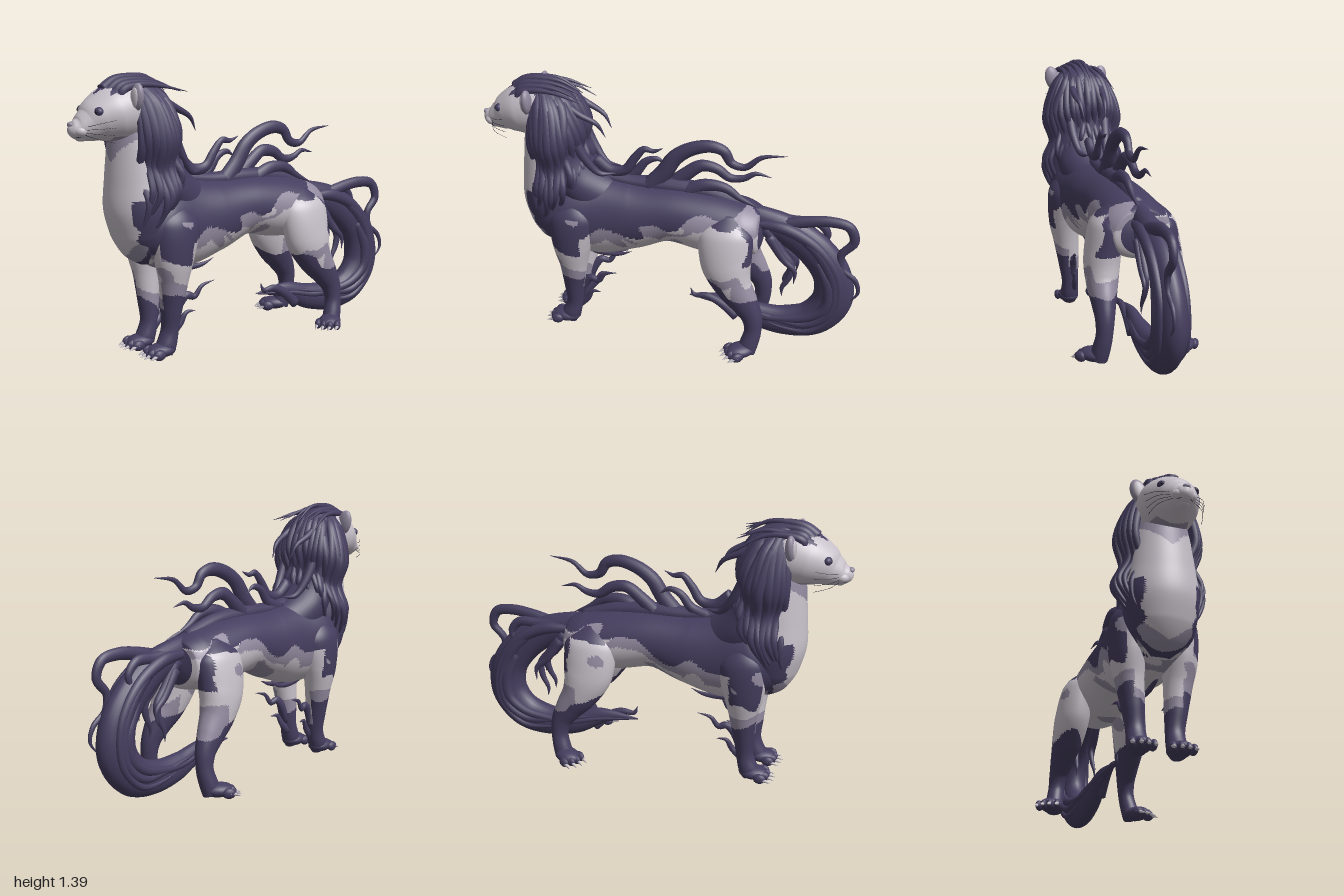
import * as THREE from 'three';

const mat = (name, color) => Object.assign(new THREE.MeshStandardMaterial({ color }), { name });
const darkFur = mat('darkFur', 0x453e5f), lightFur = mat('lightFur', 0xc6bfc8);
const midFur = mat('midFur', 0x938ba0), black = mat('black', 0x231e33);
const furs = [darkFur, lightFur, midFur];
const DARK = 0, LIGHT = 1, MID = 2;

// Blotchy coat pattern, about -1 to 1
const blotch = (x, y, z) =>
  0.5 * Math.sin(21 * z + 2.5 * Math.sin(13 * y + 6 * x)) + 0.5 * Math.sin(25 * y + 9 * x + 2 * Math.sin(15 * z));

let seed = 7;
const rand = () => (seed = (seed * 16807) % 2147483647) / 2147483647;
const jit = (a) => (rand() - 0.5) * 2 * a;

// Smooth skin over sections [x, y, z, sideRadius, otherRadius]; paint(x, y, z) picks the fur of each face
function loft(name, sections, rings, sides, paint = () => DARK) {
  const path = new THREE.CatmullRomCurve3(sections.map((s) => new THREE.Vector3(s[0], s[1], s[2])));
  const size = new THREE.CatmullRomCurve3(sections.map((s) => new THREE.Vector3(s[3], s[4], 0)));
  const pos = [], faces = [[], [], []];
  for (let i = 0; i <= rings; i++) {
    const t = i / rings, p = path.getPoint(t), r = size.getPoint(t), T = path.getTangent(t);
    const S = new THREE.Vector3(1, 0, 0).addScaledVector(T, -T.x).normalize();
    const N = new THREE.Vector3().crossVectors(T, S);
    for (let j = 0; j < sides; j++) {
      const a = (j / sides) * Math.PI * 2;
      const v = p.clone().addScaledVector(S, Math.cos(a) * Math.max(r.x, 0.001));
      pos.push(...v.addScaledVector(N, Math.sin(a) * Math.max(r.y, 0.001)).toArray());
    }
  }
  const tip = (rings + 1) * sides, end = rings * sides;
  for (const t of [0, 1]) pos.push(...path.getPoint(t).toArray());
  const face = (...ids) => {
    const mid = (k) => (pos[ids[0] * 3 + k] + pos[ids[1] * 3 + k] + pos[ids[2] * 3 + k]) / 3;
    faces[paint(mid(0), mid(1), mid(2))].push(...ids);
  };
  for (let j = 0; j < sides; j++) {
    const k = (j + 1) % sides;
    for (let a = j, b = k; a < end; a += sides, b += sides) {
      face(a, b, a + sides);
      face(b, b + sides, a + sides);
    }
    face(tip, k, j);
    face(tip + 1, end + j, end + k);
  }
  const g = new THREE.BufferGeometry();
  g.setAttribute('position', new THREE.Float32BufferAttribute(pos, 3));
  g.setIndex(faces.flat());
  let start = 0;
  faces.forEach((f, i) => { if (f.length) g.addGroup(start, f.length, i); start += f.length; });
  g.computeVertexNormals();
  return Object.assign(new THREE.Mesh(g, furs), { name });
}

// Tapering lock of hair through the points
const lock = (name, pts, r, thin = 1, root = 1) => loft(name, pts.map((p, i) => {
  const w = r * (i ? Math.pow(1 - i / (pts.length - 1), 0.65) : root) + 0.001;
  return [...p, w * thin, w];
}), (pts.length - 1) * 6, 8);

function ball(name, material, at, radii, seg = 20) {
  const m = new THREE.Mesh(new THREE.SphereGeometry(1, seg, Math.ceil(seg * 0.7)), material);
  m.name = name;
  m.position.set(...at);
  m.scale.set(...radii);
  return m;
}

function wire(name, pts, r) {
  const c = new THREE.CatmullRomCurve3(pts.map((p) => new THREE.Vector3(...p)));
  return Object.assign(new THREE.Mesh(new THREE.TubeGeometry(c, 10, r, 5), black), { name });
}

function paw(name, x, z, turn) {
  const g = new THREE.Group();
  g.name = name;
  g.position.set(x, 0, z);
  g.rotation.y = turn;
  g.add(ball('pawPad', darkFur, [0, 0.037, 0], [0.058, 0.036, 0.078]));
  for (let i = 0; i < 4; i++) {
    const u = (i - 1.5) * 0.034, f = 0.06 - Math.abs(i - 1.5) * 0.012;
    g.add(ball('toe', darkFur, [u, 0.029, f], [0.019, 0.027, 0.034], 12));
    const claw = new THREE.Mesh(new THREE.ConeGeometry(0.016, 0.06, 8), lightFur);
    claw.name = 'claw';
    claw.position.set(u * 1.05, 0.022, f + 0.034);
    claw.rotation.x = 1.9;
    g.add(claw);
  }
  return g;
}

// Coat rules
const flankLine = (z) => z > 0.42 ? 0.5 : z > 0.1 ? 0.63 - (z - 0.1) * 0.1 : z > -0.15 ? 0.74 - (z + 0.15) * 0.44 : 0.74;
const torsoCoat = (x, y, z) => {
  const n = blotch(x, y, z), h = flankLine(z) + 0.045 * n;
  if (z > 0.6 && Math.abs(x) < 0.12) return y > 0.5 ? MID : LIGHT;
  if (y > h || z < -0.47) return DARK;
  return (y < h && y > h - 0.07 && n > -0.45) || (n > 0.72 && y < 0.6) ? MID : LIGHT;
};
const neckCoat = (x, y, z) => {
  const n = 0.015 * blotch(x, y, z), w = Math.abs(x);
  if (z < 0.655 + n || (y < 0.8 && w > 0.13 + (0.8 - y) * 0.05 * Math.sin(y * 60) + n)) return DARK;
  if (y < 0.52 + 0.6 * w + n) return MID;
  return y > 0.99 + w * 0.8 + n ? MID : LIGHT;
};
const foreCoat = (x, y, z) => {
  const n = blotch(x, y, z), out = Math.abs(x) > 0.163, low = 0.22 + 0.04 * n + (z - 0.51) * 0.5 + (Math.abs(x) > 0.12 ? 0.1 : 0);
  if (y < low) return DARK;
  if (out && y > 0.46 + 0.06 * n && z > 0.45) return n > 0.55 && y < 0.68 ? MID : DARK;
  if (y > 0.61 + 0.04 * n) return DARK;
  return y < low + 0.06 ? MID : LIGHT;
};
const hindCoat = (x, y, z) => {
  const n = blotch(x, y, z), h = 0.5 + z * 0.4 + 0.03 * n;
  if (y < h || y > 0.7 + 0.03 * n || (z < -0.41 + 0.03 * n && y > 0.52)) return DARK;
  return (y < h + 0.1 && z < -0.36) || n > 0.62 ? MID : LIGHT;
};
const headCoat = (x, y, z) => {
  const peak = 1.29 + 0.04 * Math.abs(Math.sin(Math.abs(x) * 36));
  if (z < 0.66 || (y > peak && z < 0.87)) return DARK;
  return y < 1.1 && z < 0.8 ? MID : LIGHT;
};

export function createModel() {
  const model = new THREE.Group();
  model.name = 'manedBeast';
  const add = (...m) => model.add(...m);
  const wisp = (x, r, pts) => add(lock('wisp', pts.map(([z, y], i) => [x * (1 + i * 0.1), y, z]), r, 0.75));

  // Body and neck
  add(loft('torso', [
    [0, 0.63, -0.485, 0.05, 0.05], [0, 0.63, -0.46, 0.14, 0.12], [0, 0.64, -0.37, 0.175, 0.15], [0, 0.66, -0.2, 0.172, 0.162],
    [0, 0.685, 0, 0.163, 0.152], [0, 0.655, 0.2, 0.172, 0.19], [0, 0.64, 0.38, 0.18, 0.225], [0, 0.65, 0.52, 0.195, 0.222],
    [0, 0.66, 0.64, 0.168, 0.165], [0, 0.67, 0.71, 0.1, 0.1], [0, 0.67, 0.74, 0.02, 0.02],
  ], 140, 80, torsoCoat));
  add(loft('neck', [
    [0, 0.47, 0.59, 0.05, 0.04], [0, 0.53, 0.605, 0.12, 0.1], [0, 0.62, 0.62, 0.165, 0.14], [0, 0.75, 0.63, 0.185, 0.163],
    [0, 0.9, 0.64, 0.165, 0.147], [0, 1.05, 0.65, 0.142, 0.125], [0, 1.2, 0.66, 0.11, 0.1],
  ], 80, 64, neckCoat));

  // Head
  add(loft('head', [
    [0, 1.21, 0.5, 0.07, 0.08], [0, 1.22, 0.6, 0.13, 0.13], [0, 1.215, 0.7, 0.149, 0.145], [0, 1.2, 0.78, 0.143, 0.132],
    [0, 1.177, 0.85, 0.114, 0.106], [0, 1.155, 0.9, 0.083, 0.078], [0, 1.143, 0.95, 0.055, 0.053],
    [0, 1.148, 0.98, 0.033, 0.033], [0, 1.153, 0.993, 0.008, 0.008],
  ], 80, 64, headCoat));
  add(ball('nose', midFur, [0, 1.164, 0.982], [0.019, 0.013, 0.016]), ball('chin', lightFur, [0, 1.1, 0.93], [0.032, 0.018, 0.03]));
  for (const s of [-1, 1]) {
    add(ball('muzzle', lightFur, [s * 0.026, 1.133, 0.944], [0.037, 0.028, 0.035]));
    add(ball('eye', darkFur, [s * 0.08, 1.222, 0.878], [0.025, 0.022, 0.022]));
    add(ball('pupil', black, [s * 0.084, 1.222, 0.891], [0.012, 0.012, 0.011], 12));
    const ear = ball('ear', midFur, [s * 0.138, 1.283, 0.71], [0.042, 0.068, 0.026]);
    const inner = ball('innerEar', lightFur, [s * 0.138, 1.279, 0.727], [0.03, 0.052, 0.013]);
    ear.rotation.z = inner.rotation.z = -s * 0.25;
    add(ear, inner, wire('mouth', [[0, 1.118, 0.979], [s * 0.025, 1.106, 0.968], [s * 0.055, 1.118, 0.93]], 0.002));
    for (let i = 0; i < 4; i++) {
      const y = 1.15 - i * 0.011;
      add(wire('whisker', [[s * 0.05, y, 0.94], [s * 0.11, y + 0.018 - i * 0.012, 0.9],
        [s * (0.152 - i * 0.006), y + 0.035 - i * 0.024, 0.83]], 0.001));
    }
  }

  // Mane: solid core with locks hanging around it
  add(loft('maneCore', [
    [0, 1.35, 0.72, 0.04, 0.02], [0, 1.31, 0.64, 0.1, 0.065], [0, 1.24, 0.585, 0.14, 0.105], [0, 1.1, 0.57, 0.175, 0.12],
    [0, 0.95, 0.55, 0.17, 0.125], [0, 0.82, 0.47, 0.165, 0.13], [0, 0.72, 0.33, 0.12, 0.13], [0, 0.7, 0.2, 0.05, 0.08],
  ], 50, 40));
  const maneRows = [[1.335, 0.07, 0.65], [1.23, 0.15, 0.61], [1.06, 0.208, 0.58], [0.92, 0.176, 0.575], [0.79, 0.225, 0.57], [0.69, 0.195, 0.6], [0.6, 0.145, 0.64]];
  for (const s of [-1, 1]) {
    for (let i = 0; i < 14; i++) {
      const a = -0.75 + i * 0.175, back = Math.max(0, Math.sin(a)), lift = back * 0.2 + rand() * 0.08, wob = jit(0.12);
      add(lock('maneLock', maneRows.map(([y, r, zc], k) => {
        const ang = a + wob * Math.sin(k * 1.7) + jit(0.06), R = r * (1 - 0.22 * back);
        return [s * R * Math.cos(ang), y + (k / 6) * lift, zc - R * 0.8 * Math.sin(ang)];
      }), 0.036, 0.75, 0.5));
    }
    // Crown tufts and loose flicks
    for (let i = 0; i < 4; i++) {
      const x = s * (0.008 + i * 0.026), y = 1.352 - i * 0.014;
      add(lock('crownTuft', [[x, y - 0.035, 0.815 - i * 0.015], [x * 1.1, y + 0.006, 0.755], [x * 1.15, y + 0.02 + jit(0.008), 0.67],
        [x * 1.25, y + 0.012 + jit(0.012), 0.57], [x * 1.6, y - 0.04 + jit(0.03), 0.46 - i * 0.01]], 0.023));
    }
    add(lock('maneFlick', [[s * 0.06, 1.28, 0.56], [s * 0.08, 1.22, 0.46], [s * 0.07, 1.17, 0.37], [s * 0.06, 1.1, 0.33]], 0.022));
    add(lock('maneFlick', [[s * 0.1, 1.12, 0.5], [s * 0.09, 0.98, 0.43], [s * 0.07, 0.9, 0.36], [s * 0.05, 0.9, 0.28]], 0.03));
  }

  // Spine ridge and floating wisps along the back
  add(loft('spineRidge', [[0, 0.87, 0.42, 0.03, 0.03], [0, 0.84, 0.2, 0.04, 0.035], [0, 0.835, 0, 0.045, 0.045],
    [0, 0.82, -0.2, 0.04, 0.04], [0, 0.765, -0.4, 0.03, 0.03]], 30, 12));
  wisp(0.015, 0.035, [[0.4, 0.96], [0.32, 0.9], [0.24, 0.91], [0.19, 0.98], [0.14, 1.035], [0.09, 1.03], [0.04, 1.05]]);
  wisp(-0.015, 0.032, [[0.3, 0.84], [0.2, 0.88], [0.14, 0.95], [0.08, 0.97], [0.03, 0.94]]);
  wisp(0.01, 0.048, [[0.12, 0.82], [0.04, 0.91], [-0.02, 1.0], [-0.1, 1.055], [-0.2, 1.08], [-0.27, 1.06], [-0.31, 1], [-0.38, 0.985], [-0.46, 1.045], [-0.59, 1.065]]);
  wisp(-0.015, 0.04, [[0.02, 0.82], [-0.07, 0.9], [-0.15, 0.955], [-0.23, 0.945], [-0.3, 0.9], [-0.37, 0.905], [-0.43, 0.935], [-0.51, 0.92]]);
  wisp(0.015, 0.042, [[-0.08, 0.82], [-0.18, 0.865], [-0.28, 0.86], [-0.36, 0.81], [-0.46, 0.765]]);

  // Tail with overlapping strands
  const tailPath = [[-0.34, 0.72, 0.06], [-0.48, 0.69, 0.075], [-0.62, 0.64, 0.085], [-0.76, 0.54, 0.095], [-0.85, 0.41, 0.1], [-0.86, 0.26, 0.105],
    [-0.77, 0.14, 0.1], [-0.63, 0.1, 0.085], [-0.46, 0.12, 0.07], [-0.3, 0.18, 0.042], [-0.1, 0.19, 0.003]];
  add(loft('tail', tailPath.map(([z, y, r]) => [0, y, z, r * 0.7, r]), 80, 24));
  for (const s of [-1, 1]) {
    for (const k of [0, 1, 2]) {
      add(lock('tailStrand', tailPath.slice(1 + k, 9 + k).map(([z, y, r], i) =>
        [s * r * 0.62, y + r * 0.5 * Math.sin(i + k * 2), z + r * 0.3 * Math.cos(i + k * 2)]), 0.036, 0.8, 0.5));
    }
    wisp(s * 0.035, 0.03, [[-0.5, 0.66], [-0.58, 0.54], [-0.64, 0.46], [-0.63, 0.39], [-0.6, 0.33], [-0.6, 0.28]]);
    wisp(s * 0.05, 0.025, [[-0.52, 0.62], [-0.6, 0.5], [-0.66, 0.44], [-0.66, 0.37]]);
  }
  wisp(0.02, 0.035, [[-0.56, 0.68], [-0.7, 0.715], [-0.82, 0.73], [-0.92, 0.71], [-0.95, 0.63], [-0.89, 0.55], [-0.9, 0.47], [-0.97, 0.41], [-0.99, 0.34], [-0.94, 0.27]]);
  wisp(-0.025, 0.035, [[-0.5, 0.7], [-0.64, 0.69], [-0.76, 0.69], [-0.81, 0.63], [-0.79, 0.56], [-0.83, 0.48]]);
  wisp(0.02, 0.03, [[-0.36, 0.1], [-0.28, 0.17], [-0.2, 0.21], [-0.13, 0.21], [-0.11, 0.25]]);

  // Legs
  for (const s of [-1, 1]) {
    add(loft('frontLeg', [
      [s * 0.1, 0.76, 0.49, 0.05, 0.06], [s * 0.127, 0.65, 0.5, 0.09, 0.13], [s * 0.13, 0.5, 0.51, 0.085, 0.105],
      [s * 0.12, 0.38, 0.51, 0.07, 0.075], [s * 0.106, 0.25, 0.515, 0.057, 0.056], [s * 0.096, 0.13, 0.52, 0.047, 0.044],
      [s * 0.096, 0.06, 0.54, 0.05, 0.05], [s * 0.096, 0.025, 0.56, 0.045, 0.05],
    ], 90, 48, foreCoat), paw('frontPaw', s * 0.096, 0.57, 0));
    add(loft('hindLeg', [
      [s * 0.09, 0.74, -0.31, 0.04, 0.07], [s * 0.135, 0.64, -0.31, 0.083, 0.142], [s * 0.16, 0.5, -0.32, 0.088, 0.132],
      [s * 0.172, 0.39, -0.36, 0.08, 0.1], [s * 0.182, 0.3, -0.42, 0.062, 0.075], [s * 0.19, 0.22, -0.465, 0.047, 0.055],
      [s * 0.197, 0.14, -0.475, 0.042, 0.045], [s * 0.208, 0.07, -0.46, 0.045, 0.048], [s * 0.215, 0.025, -0.445, 0.045, 0.05],
    ], 90, 48, hindCoat), paw('hindPaw', s * 0.235, -0.42, s * 0.6));
    // Trailing leg fur
    wisp(s * 0.085, 0.028, [[0.5, 0.16], [0.46, 0.25], [0.42, 0.29], [0.38, 0.28], [0.34, 0.33], [0.27, 0.35]]);
    wisp(s * 0.08, 0.022, [[0.5, 0.1], [0.45, 0.15], [0.42, 0.2], [0.37, 0.205]]);
    wisp(s * 0.03, 0.022, [[0.46, 0.44], [0.38, 0.415], [0.28, 0.415], [0.21, 0.44]]);
  }
  return model;
}
